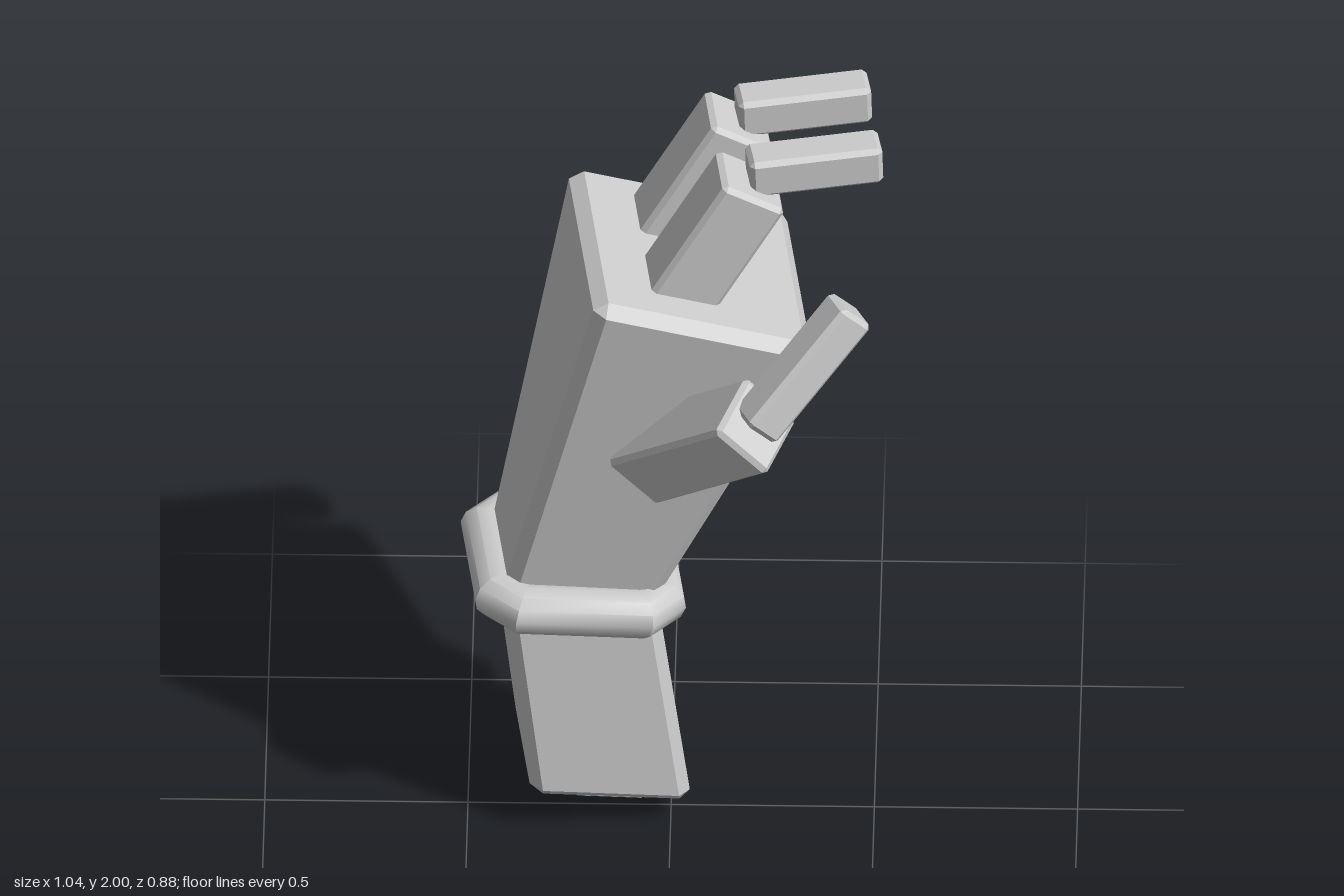
import * as THREE from 'three';
import { toCreasedNormals } from 'three/addons/utils/BufferGeometryUtils.js';
import { ConvexGeometry } from 'three/addons/geometries/ConvexGeometry.js';

const YAW = 0.13;
const material = new THREE.MeshStandardMaterial({ color: 0xcccccc, flatShading: true });
const smooth = new THREE.MeshStandardMaterial({ color: 0xcccccc });

// Bevelled block along y: bottom size w0 x d0, top size w1 x d1, optional sideways shear
function block(name, h, [w0, d0], [w1, d1], bevel, shear = 0) {
  const points = [];
  for (const sx of [-1, 1]) for (const sy of [-1, 1]) for (const sz of [-1, 1]) {
    const w = (sy < 0 ? w0 : w1) / 2, d = (sy < 0 ? d0 : d1) / 2;
    for (let full = 0; full < 3; full++) {
      const inset = (axis) => (axis === full ? 0 : bevel);
      const y = sy * (h / 2 - inset(1));
      points.push(new THREE.Vector3(sx * (w - inset(0)) + shear * y, y, sz * (d - inset(2))));
    }
  }
  const mesh = new THREE.Mesh(new ConvexGeometry(points), material);
  mesh.name = name;
  return mesh;
}

function place(parent, mesh, pos, rotZ = 0, rotY = 0) {
  mesh.position.set(...pos);
  mesh.rotation.set(0, rotY, rotZ);
  parent.add(mesh);
}

// Place a block with its length along dir and its width along side
function aim(parent, mesh, pos, dir, side) {
  const y = new THREE.Vector3(...dir).normalize();
  const z = new THREE.Vector3(...side).cross(y).normalize();
  const x = y.clone().cross(z);
  mesh.quaternion.setFromRotationMatrix(new THREE.Matrix4().makeBasis(x, y, z));
  mesh.position.set(...pos);
  parent.add(mesh);
}

// Round tube swept with mitred corners around a rectangle with cut corners
function bandGeometry(hw, hd, cut, radius, sides) {
  const path = [
    [hw, -hd + cut], [hw, hd - cut], [hw - cut, hd], [-hw + cut, hd],
    [-hw, hd - cut], [-hw, -hd + cut], [-hw + cut, -hd], [hw - cut, -hd],
  ];
  const positions = [], index = [];
  path.forEach(([x, z], i) => {
    const a = (i - 0.5) * Math.PI / 4 + (i % 2 ? Math.PI / 4 : 0) - (i % 2 ? Math.PI / 8 : -Math.PI / 8);
    // outward mitre direction halfway between the neighbouring sides
    const mitre = -Math.PI / 8 + i * Math.PI / 4;
    const k = radius / Math.cos(Math.PI / 8);
    for (let j = 0; j < sides; j++) {
      const t = (j / sides) * Math.PI * 2;
      positions.push(
        x + Math.cos(mitre) * Math.cos(t) * k,
        Math.sin(t) * radius,
        z + Math.sin(mitre) * Math.cos(t) * k,
      );
      const n = path.length, j2 = (j + 1) % sides, i2 = (i + 1) % n;
      const p = i * sides + j, q = i * sides + j2, r = i2 * sides + j, s = i2 * sides + j2;
      index.push(p, q, r, q, s, r);
    }
  });
  const geometry = new THREE.BufferGeometry();
  geometry.setAttribute('position', new THREE.Float32BufferAttribute(positions, 3));
  geometry.setIndex(index);
  return toCreasedNormals(geometry, 0.6);
}

export function createModel() {
  const model = new THREE.Group();
  model.name = 'mechanicalHand';
  const arm = new THREE.Group();
  arm.name = 'armAndFingers';
  arm.rotation.y = YAW;
  model.add(arm);

  // Palm flaring upward, and the forearm leaning back below it
  place(arm, block('palm', 0.98, [0.38, 0.33], [0.57, 0.6], 0.03), [-0.085, 1.14, -0.11], -0.32);
  place(arm, block('forearm', 0.6, [0.4, 0.37], [0.39, 0.33], 0.03, -0.26), [-0.193, 0.39, -0.1], -0.13);

  // Stepped connector under the forearm
  place(arm, block('connectorPlate', 0.07, [0.28, 0.21], [0.28, 0.21], 0.006), [-0.14, 0.077, -0.1], -0.13);
  place(arm, block('connectorTip', 0.05, [0.17, 0.13], [0.17, 0.13], 0.005), [-0.146, 0.037, -0.095], -0.13);

  // Wrist band
  const band = new THREE.Mesh(bandGeometry(0.2, 0.19, 0.055, 0.063, 12), smooth);
  band.name = 'wristBand';
  place(arm, band, [-0.23, 0.68, -0.11], -0.13);

  // Two fingers, each with an upright base and a bent tip
  for (const [label, z] of [['back', -0.25], ['front', -0.003]]) {
    place(arm, block(label + 'FingerBase', 0.42, [0.175, 0.165], [0.175, 0.165], 0.012),
      [0.094, 1.73, z], -0.53);
    place(arm, block(label + 'FingerTip', 0.33, [0.105, 0.1], [0.105, 0.1], 0.012),
      [0.356, 1.94, z - 0.014], -Math.PI / 2 + 0.03, 0.04);
  }

  // Thumb
  const thumb = new THREE.Group();
  thumb.name = 'thumb';
  model.add(thumb);
  aim(thumb, block('thumbBase', 0.5, [0.175, 0.175], [0.175, 0.175], 0.012),
    [0.08, 1.295, 0.225], [0.56, 0.62, 0.55], [0.68, -0.73, 0.02]);
  aim(thumb, block('thumbTip', 0.38, [0.1, 0.11], [0.1, 0.11], 0.012),
    [0.33, 1.59, 0.31], [0.62, 0.7, -0.35], [0.7, -0.71, -0.18]);
  return model;
}
